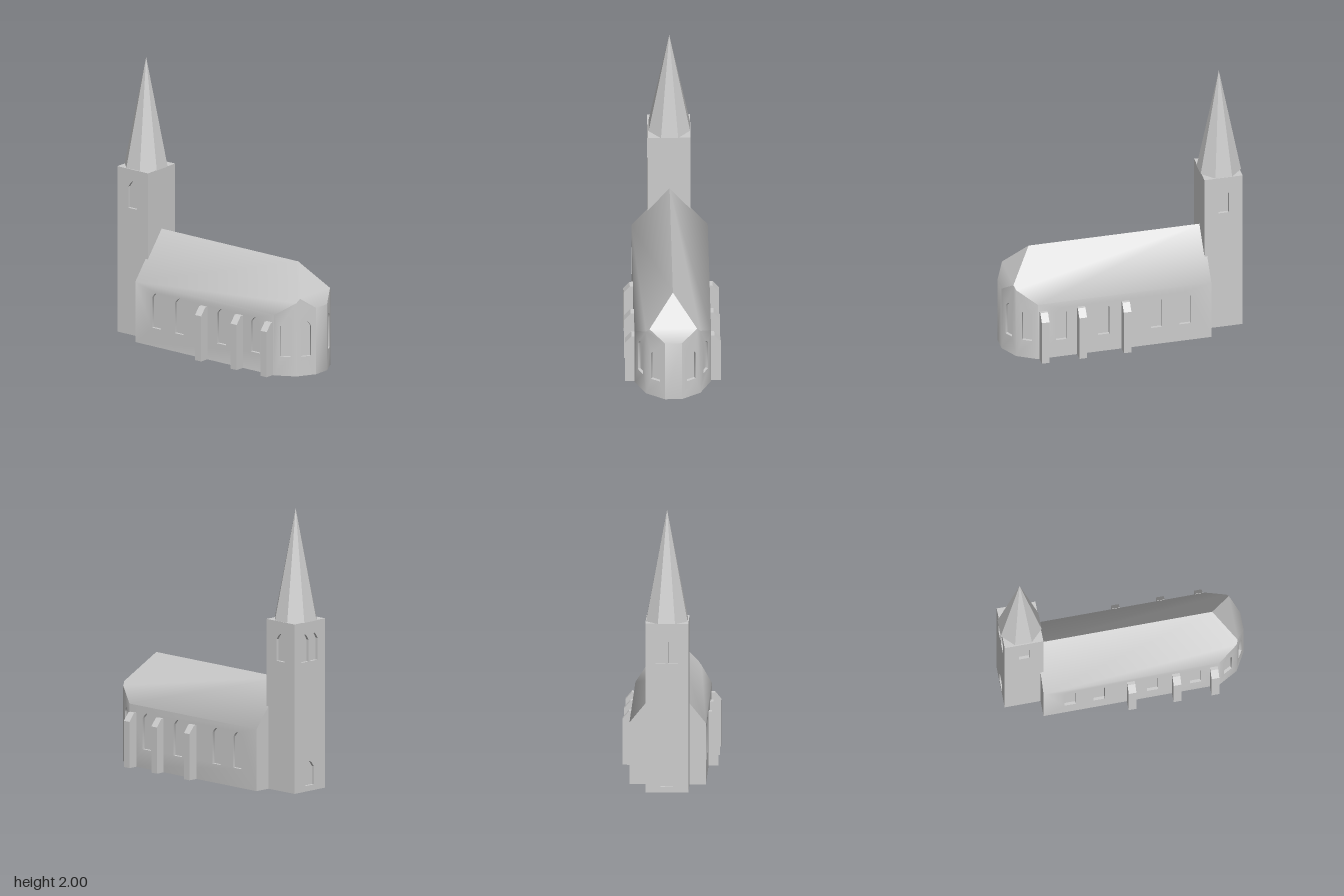
import * as THREE from 'three';
import { mergeGeometries, toCreasedNormals } from 'three/addons/utils/BufferGeometryUtils.js';

const RIDGE = 0.77, APSE_X = 0.65, RECESS = 0.02;

// Height of the nave roof over a plan position: two side slopes and a hipped east end
const roofY = (x, z) => Math.min(
  RIDGE - 1.23 * Math.abs(z),
  RIDGE - 1.36 * Math.max(0, x - APSE_X));

function fromTriangles(points) {
  const g = new THREE.BufferGeometry();
  g.setAttribute('position', new THREE.Float32BufferAttribute(points.flat(), 3));
  return g;
}

// Flat convex polygon, corners anticlockwise seen from outside
function polygon(pts) {
  const tris = [];
  for (let i = 1; i < pts.length - 1; i++) tris.push(pts[0], pts[i], pts[i + 1]);
  return fromTriangles(tris);
}

function bare(geometry) {
  const g = geometry.index ? geometry.toNonIndexed() : geometry;
  g.deleteAttribute('uv');
  g.deleteAttribute('normal');
  return g;
}

// Outline of a pointed window, anticlockwise
function windowOutline({ s, y, w = 0.08, h = 0.22, peak = 0.04 }) {
  return [[s - w / 2, y], [s + w / 2, y], [s + w / 2, y + h], [s + w * 0.25, y + h + peak * 0.65],
    [s, y + h + peak], [s - w * 0.25, y + h + peak * 0.65], [s - w / 2, y + h]]
    .map(([a, b]) => new THREE.Vector2(a, b));
}

// Wall from plan point a to b with recessed windows; its top follows heightAt
function wall(a, b, heightAt, windows = [], breaks = []) {
  const dx = b[0] - a[0], dz = b[1] - a[1], length = Math.hypot(dx, dz);
  const top = [1, ...breaks, 0].map((t) =>
    new THREE.Vector2(t * length, heightAt(a[0] + t * dx, a[1] + t * dz)));
  const shape = new THREE.Shape([new THREE.Vector2(0, 0), new THREE.Vector2(length, 0), ...top]);
  const parts = [];
  for (const win of windows) {
    const o = windowOutline(win);
    shape.holes.push(new THREE.Path(o));
    parts.push(bare(new THREE.ShapeGeometry(new THREE.Shape(o)).translate(0, 0, -RECESS)));
    const reveal = [];
    o.forEach((p, i) => {
      const q = o[(i + 1) % o.length];
      const p0 = [p.x, p.y, 0], q0 = [q.x, q.y, 0];
      const p1 = [p.x, p.y, -RECESS], q1 = [q.x, q.y, -RECESS];
      reveal.push(p0, q0, q1, p0, q1, p1);
    });
    parts.push(fromTriangles(reveal));
  }
  parts.push(bare(new THREE.ShapeGeometry(shape)));
  const u = new THREE.Vector3(dx / length, 0, dz / length);
  const up = new THREE.Vector3(0, 1, 0);
  const m = new THREE.Matrix4().makeBasis(u, up, u.clone().cross(up)).setPosition(a[0], 0, a[1]);
  return mergeGeometries(parts).applyMatrix4(m);
}

function naveGeometry() {
  const side = [[-0.6, 0.267], [APSE_X, 0.267], [0.787, 0.19], [0.86, 0.06]];
  const ring = [...side, ...side.map(([x, z]) => [x, -z]).reverse()];
  const hipT = 0.183;
  const hip = [0.787 + hipT * 0.073, 0.19 - hipT * 0.13];

  // Windows for one side, by distance along each wall
  const naveWindows = [-0.41, -0.205, 0.175, 0.48].map((x) => ({ s: x + 0.6, y: 0.135 }));
  const apseWindow = (i) => [{
    s: Math.hypot(side[i + 1][0] - side[i][0], side[i + 1][1] - side[i][1]) / 2, y: 0.14, w: 0.07,
  }];
  const flip = (wins, length) => wins.map((w) => ({ ...w, s: length - w.s }));
  const windows = [naveWindows, apseWindow(1), apseWindow(2), [],
    apseWindow(2), apseWindow(1), flip(naveWindows, 1.25), []];
  const breaks = { 2: [hipT], 4: [1 - hipT], 7: [0.5] };
  const parts = ring.map((p, i) =>
    wall(p, ring[(i + 1) % ring.length], roofY, windows[i], breaks[i]));

  // Roof slopes, hipped end and floor
  const lift = ([x, z]) => [x, roofY(x, z), z];
  const mirror = ([x, z]) => [x, -z];
  const slope = [...side.slice(0, 3), hip, [APSE_X, 0], [-0.6, 0]];
  parts.push(polygon(slope.map(lift)));
  parts.push(polygon(slope.map(mirror).reverse().map(lift)));
  parts.push(polygon([hip, side[3], mirror(side[3]), mirror(hip), [APSE_X, 0]].map(lift)));
  parts.push(polygon([...ring].reverse().map(([x, z]) => [x, 0, z])));
  return toCreasedNormals(mergeGeometries(parts), 0.75);
}

function towerGeometry() {
  const H = 1.21;
  const ring = [[-0.855, 0.153], [-0.58, 0.153], [-0.58, -0.148], [-0.855, -0.148]];
  const belfry = (s, w = 0.075) => ({ s, y: 0.925, w, h: 0.155, peak: 0.045 });
  const door = { s: 0.15, y: 0.04, w: 0.085, h: 0.13, peak: 0.045 };
  const windows = [[belfry(0.1375)], [], [belfry(0.1375)],
    [belfry(0.105, 0.07), belfry(0.195, 0.07), door]];
  const parts = ring.map((p, i) => wall(p, ring[(i + 1) % 4], () => H, windows[i]));
  parts.push(polygon(ring.map(([x, z]) => [x, H, z])));
  parts.push(polygon([...ring].reverse().map(([x, z]) => [x, 0, z])));
  return toCreasedNormals(mergeGeometries(parts), 0.5);
}

export function createModel() {
  const model = new THREE.Group();
  model.name = 'church';
  const stone = new THREE.MeshStandardMaterial({ color: 0xcccccc });
  stone.name = 'pale grey stone';
  const add = (name, geometry) => {
    const mesh = new THREE.Mesh(geometry, stone);
    mesh.name = name;
    model.add(mesh);
    return mesh;
  };

  add('naveAndApse', naveGeometry());
  add('tower', towerGeometry());

  // Eight-sided spire with flat faces towards the axes
  const spire = new THREE.ConeGeometry(0.157, 0.79, 8, 1, false, Math.PI / 8).toNonIndexed();
  spire.computeVertexNormals();
  add('spire', spire).position.set(-0.72, 1.21 + 0.395, 0);

  // Buttresses: side profile (outward, up) extruded along the nave
  const profile = new THREE.Shape([[0.25, 0], [0.335, 0], [0.335, 0.33], [0.29, 0.385], [0.25, 0.385]]
    .map(([a, b]) => new THREE.Vector2(a, b)));
  const width = 0.055;
  for (const turn of [-1, 1]) {
    for (const x of [0.02, 0.34, 0.61]) {
      const g = new THREE.ExtrudeGeometry(profile, { depth: width, bevelEnabled: false });
      g.translate(0, 0, -width / 2).rotateY(turn * Math.PI / 2);
      add(turn < 0 ? 'frontButtress' : 'backButtress', g).position.x = x;
    }
  }
  return model;
}
